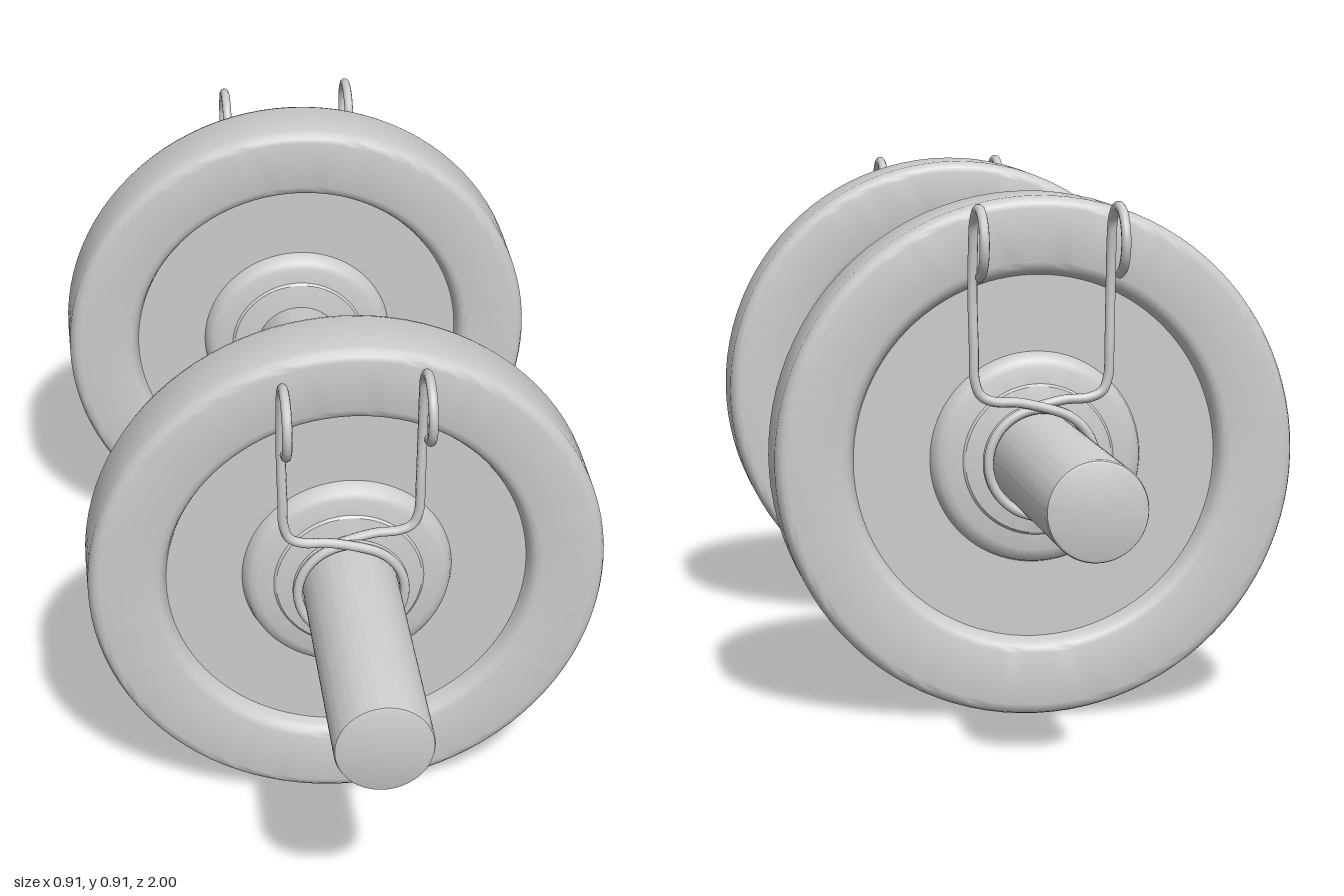
import * as THREE from 'three';
import { toCreasedNormals } from 'three/addons/utils/BufferGeometryUtils.js';

const AXIS_Y = 0.455, BAR_R = 0.083, PLATE_Z = 0.432;
const grey = new THREE.MeshStandardMaterial({ color: 0xcccccc });

// Solid of revolution around z from [radius, z] pairs
function turned(name, profile, crease = 0.6) {
  const points = profile.map(([r, z]) => new THREE.Vector2(r, z));
  const geometry = new THREE.LatheGeometry(points, 96).rotateX(Math.PI / 2);
  const mesh = new THREE.Mesh(toCreasedNormals(geometry, crease), grey);
  mesh.name = name;
  return mesh;
}

// One face of the plate, from the bore outwards: hub, recess, rim, rounded edge
const face = [
  [BAR_R - 0.004, 0.082], [0.095, 0.081], [0.128, 0.075], [0.132, 0.071], [0.16, 0.069], [0.172, 0.065],
  [0.181, 0.056], [0.185, 0.042], [0.318, 0.042], [0.322, 0.055], [0.326, 0.064],
  [0.333, 0.07], [0.342, 0.073], [0.435, 0.073], [0.444, 0.071], [0.451, 0.064], [0.455, 0.053],
];

function makePlate() {
  const back = face.map(([r, z]) => [r, -z]);
  return turned('weightPlate', [...back, ...[...face].reverse()]);
}

// Bent leg of the spring clip, from the coil up to the hooked tip
function legPoints(side, z, shift) {
  const v = (x, y, dz) => new THREE.Vector3(side * x, y, z + dz);
  const points = [
    v(0.04, 0.106, 0), v(0.085, 0.109, 0), v(0.108, 0.12, 0), v(0.118, 0.145, 0),
    v(0.12, 0.2, 0), v(0.122, 0.3, -0.003),
  ];
  // Hook curling away from the plate
  const r = 0.057, cz = 0.598 + shift, cy = 0.386;
  for (let i = 0; i <= 9; i++) {
    const a = Math.PI - (i / 9) * Math.PI * 1.45;
    points.push(new THREE.Vector3(side * 0.122, cy + r * Math.sin(a), cz + r * Math.cos(a)));
  }
  return points;
}

// Spring clip: left-hand leg, clockwise coil, right-hand leg in one wire
function makeClip() {
  const zOuter = 0.546, zInner = 0.523;
  const coil = [];
  const turns = 2.15, steps = 52, start = 1.25;
  for (let i = 0; i <= steps; i++) {
    const t = i / steps, a = start - t * turns * Math.PI * 2;
    coil.push(new THREE.Vector3(
      0.093 * Math.cos(a), 0.093 * Math.sin(a), THREE.MathUtils.lerp(zOuter, zInner, t)));
  }
  // End the coil near the top so the wire leaves along its tangent
  const last = coil.findLastIndex((p) => p.x < -0.02 && p.y > 0.05);
  const path = new THREE.CatmullRomCurve3([
    ...legPoints(-1, zOuter, 0.01).reverse(),
    ...coil.slice(0, last + 1),
    ...legPoints(1, zInner, -0.014),
  ], false, 'centripetal');

  const clip = new THREE.Group();
  clip.name = 'springClip';
  const wire = new THREE.Mesh(new THREE.TubeGeometry(path, 420, 0.0085, 10), grey);
  wire.name = 'clipWire';
  clip.add(wire);
  // Rounded wire tips
  for (const t of [0, 1]) {
    const tip = new THREE.Mesh(new THREE.SphereGeometry(0.0085, 10, 8), grey);
    tip.name = 'clipTip';
    tip.position.copy(path.getPoint(t));
    clip.add(tip);
  }
  return clip;
}

export function createModel() {
  const model = new THREE.Group();
  model.name = 'dumbbell';
  const assembly = new THREE.Group();
  assembly.name = 'barAssembly';
  assembly.position.y = AXIS_Y;
  model.add(assembly);

  // Bar with slightly bevelled ends
  assembly.add(turned('bar', [
    [0, -1], [BAR_R - 0.007, -1], [BAR_R - 0.002, -0.998], [BAR_R, -0.992],
    [BAR_R, 0.992], [BAR_R - 0.002, 0.998], [BAR_R - 0.007, 1], [0, 1],
  ]));

  // Plate and clip at each end, the rear set turned half a turn
  for (const [name, angle] of [['frontEnd', 0], ['rearEnd', Math.PI]]) {
    const end = new THREE.Group();
    end.name = name;
    end.rotation.y = angle;
    const plate = makePlate();
    plate.position.z = PLATE_Z;
    end.add(plate, makeClip());
    assembly.add(end);
  }
  return model;
}
